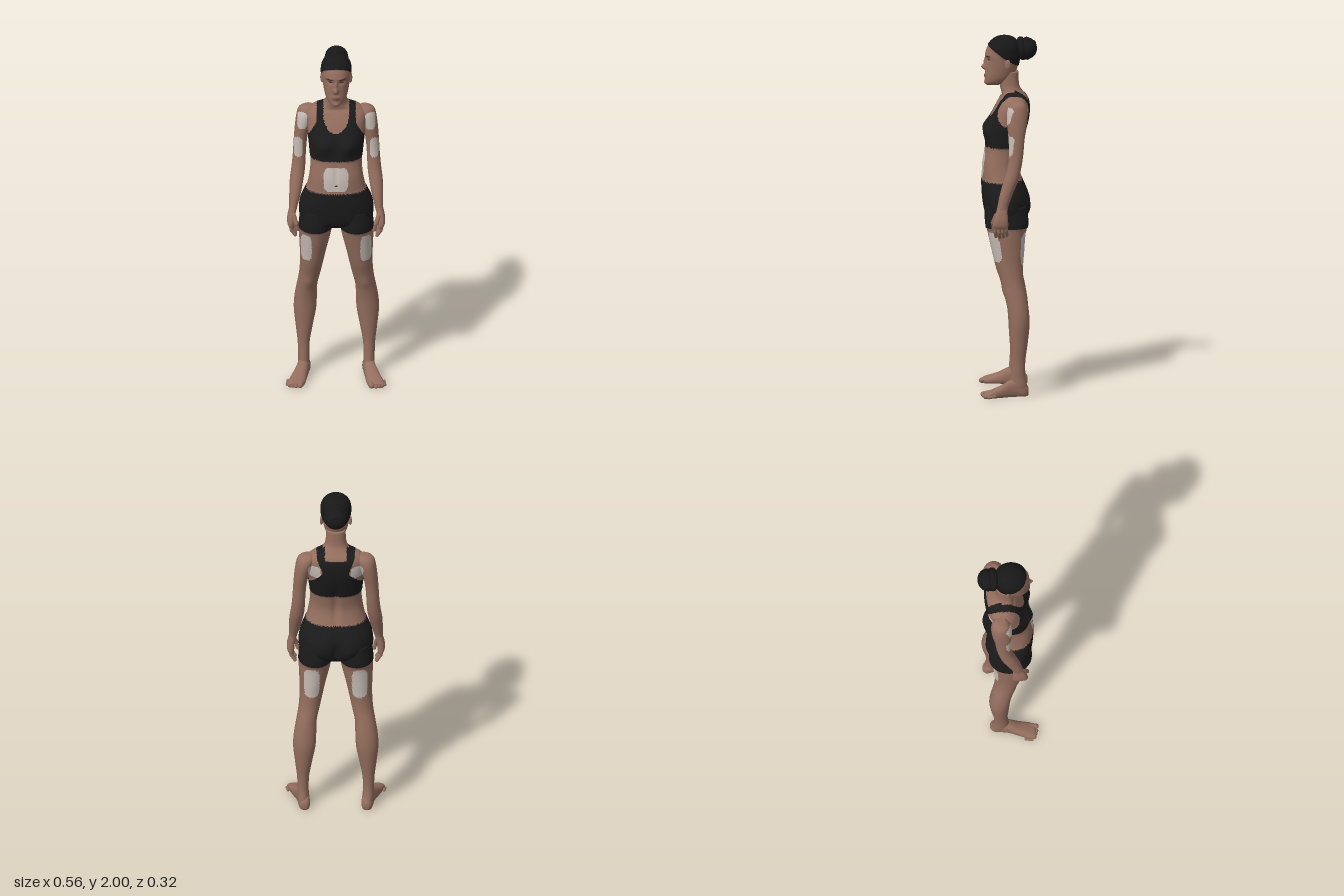
import * as THREE from 'three';
import { mergeGeometries } from 'three/addons/utils/BufferGeometryUtils.js';

const flat = (name, color) => Object.assign(new THREE.MeshStandardMaterial({ color }), { name });
const SKIN = 0, CLOTH = 1, PATCH = 2, HAIR = 3, LIPS = 4, DARK = 5;

const bump = (x, y, cx, cy, sx, sy) => Math.exp(-(((x - cx) / sx) ** 2) - ((y - cy) / sy) ** 2);
const inPad = (x, y, cx, cy, rx, ry) => ((x - cx) / rx) ** 4 + ((y - cy) / ry) ** 4 < 1;
const lerp = THREE.MathUtils.lerp;
const ramp = (v, a, b) => THREE.MathUtils.clamp((v - a) / (b - a), 0, 1);

// Smooth interpolation of a section table at row position f
function sample(rows, f) {
  const n = rows.length, i = Math.min(Math.floor(f), n - 2), u = f - i;
  const at = k => rows[THREE.MathUtils.clamp(k, 0, n - 1)];
  return rows[0].map((_, c) => {
    const a = at(i - 1)[c], b = at(i)[c], d = at(i + 1)[c], e = at(i + 2)[c];
    const m0 = (d - a) / 2, m1 = (e - b) / 2, u2 = u * u, u3 = u2 * u;
    return (2 * u3 - 3 * u2 + 1) * b + (u3 - 2 * u2 + u) * m0 + (3 * u2 - 2 * u3) * d + (u3 - u2) * m1;
  });
}

// Closed loft through rows of [y, centreX, halfWidth, frontZ, backZ];
// sculpt moves each vertex and paint picks a material for each triangle
function loft(rows, seg, steps, { power = 2, sculpt, paint = () => SKIN } = {}) {
  const total = (rows.length - 1) * steps, pts = [], tris = [];
  const shaped = p => { if (sculpt) sculpt(p); return p; };
  const bend = v => Math.sign(v) * Math.abs(v) ** (2 / power);
  for (let r = 0; r <= total; r++) {
    const [y, cx, rx, zf, zb] = sample(rows, r / steps);
    for (let i = 0; i < seg; i++) {
      const a = i / seg * Math.PI * 2;
      pts.push(shaped(new THREE.Vector3(cx + rx * bend(Math.cos(a)), y, (zf + zb) / 2 + (zf - zb) / 2 * bend(Math.sin(a)))));
    }
  }
  for (let r = 0; r < total; r++) for (let i = 0; i < seg; i++) {
    const j = (i + 1) % seg, a = r * seg + i, b = r * seg + j, c = a + seg, d = b + seg;
    tris.push([a, c, b], [b, c, d]);
  }
  for (const end of [0, total]) {
    const [y, cx, , zf, zb] = rows[end ? rows.length - 1 : 0];
    const m = pts.push(shaped(new THREE.Vector3(cx, y, (zf + zb) / 2))) - 1;
    for (let i = 0; i < seg; i++) {
      const a = end * seg + i, b = end * seg + (i + 1) % seg;
      tris.push(end ? [m, b, a] : [m, a, b]);
    }
  }
  const bins = [[], [], [], [], [], []], mid = new THREE.Vector3();
  for (const t of tris) {
    mid.set(0, 0, 0);
    t.forEach(k => mid.addScaledVector(pts[k], 1 / 3));
    bins[paint(mid)].push(...t);
  }
  const geo = new THREE.BufferGeometry().setFromPoints(pts);
  geo.setIndex(bins.flat());
  let start = 0;
  bins.forEach((b, m) => { if (b.length) geo.addGroup(start, b.length, m); start += b.length; });
  geo.computeVertexNormals();
  return geo;
}

function mirrored(geo) {
  const g = geo.clone().scale(-1, 1, 1), ix = g.index;
  for (let i = 0; i < ix.count; i += 3) {
    const t = ix.getX(i);
    ix.setX(i, ix.getX(i + 1));
    ix.setX(i + 1, t);
  }
  g.computeVertexNormals();
  return g;
}

function capsule(a, b, r) {
  const p = new THREE.Vector3(...a), q = new THREE.Vector3(...b), d = q.clone().sub(p);
  const g = new THREE.CapsuleGeometry(r, d.length(), 5, 12);
  g.applyQuaternion(new THREE.Quaternion().setFromUnitVectors(new THREE.Vector3(0, 1, 0), d.normalize()));
  return g.translate(...p.add(q).multiplyScalar(0.5).toArray());
}

function topIsCloth({ x, y, z }) {
  const ax = Math.abs(x);
  if (y < 1.385 || y > 1.7) return false;
  if (z > -0.03) {
    const neck = y > 1.65 ? ax < 0.072 : (ax / 0.072) ** 2 + ((y - 1.65) / 0.105) ** 2 < 1;
    return !neck && ax < lerp(0.17, 0.108, ramp(y, 1.49, 1.6));
  }
  const neck = ax < 0.06 && y > 1.645;
  return !neck && ax < lerp(0.17, 0.075, ramp(y, 1.45, 1.56)) + 0.03 * ramp(y, 1.58, 1.66);
}

export function createModel() {
  const model = new THREE.Group();
  const mats = [flat('skin', 0x946e5e), flat('black fabric', 0x1b1b1b), flat('pale pad', 0xc6bcb4),
    flat('hair', 0x191818), flat('lips', 0x7c5147), flat('dark brown', 0x49352d)];
  const add = (name, geo, mat = mats) => {
    const m = new THREE.Mesh(geo, mat);
    m.name = name;
    model.add(m);
  };
  const pair = (name, geo, mat) => {
    add(name + 'Left', geo, mat);
    add(name + 'Right', mirrored(geo), mat);
  };

  // Torso and neck, with cropped top, shorts and pads
  add('torso', loft([
    [0.95, 0, 0.06, 0.07, -0.05], [0.975, 0, 0.15, 0.11, -0.08], [1.0, 0, 0.19, 0.128, -0.095],
    [1.05, 0, 0.203, 0.14, -0.1], [1.12, 0, 0.194, 0.148, -0.1], [1.2, 0, 0.164, 0.15, -0.072],
    [1.28, 0, 0.148, 0.148, -0.052], [1.36, 0, 0.142, 0.134, -0.062], [1.44, 0, 0.148, 0.122, -0.085],
    [1.5, 0, 0.155, 0.112, -0.102], [1.56, 0, 0.162, 0.094, -0.113], [1.62, 0, 0.164, 0.066, -0.113],
    [1.658, 0, 0.137, 0.04, -0.1], [1.685, 0, 0.078, 0.042, -0.078], [1.72, 0, 0.058, 0.05, -0.058],
    [1.8, 0, 0.054, 0.055, -0.052],
  ], 144, 8, {
    power: 2.3,
    sculpt(p) {
      const ax = Math.abs(p.x), y = p.y;
      if (p.z > 0.03) {
        p.z += 0.032 * bump(ax, y, 0.072, 1.475, 0.05, 0.055);
        p.z -= 0.006 * bump(ax, y, 0, 1.3, 0.012, 0.07);
        p.z += 0.006 * bump(ax, y, 0.07, 1.645 , 0.05, 0.01);
      } else if (p.z < -0.02) {
        p.z -= 0.022 * bump(ax, y, 0.085, 1.05, 0.06, 0.06);
        p.z += 0.014 * bump(ax, y, 0, 1.32, 0.022, 0.13);
        p.z += 0.02 * bump(ax, y, 0, 1.03, 0.014, 0.06);
      }
      if (y < 1.195 || topIsCloth(p)) { p.x *= 1.02; p.z *= 1.02; }
    },
    paint(p) {
      const ax = Math.abs(p.x);
      if (p.y < 1.195 || topIsCloth(p)) return CLOTH;
      if (p.z > 0 && Math.hypot(ax, p.y - 1.243) < 0.007) return DARK;
      if (p.z > 0 && inPad(p.x, p.y, 0, 1.28, 0.068, 0.072)) return PATCH;
      if (p.z < -0.03 && inPad(ax, p.y, 0.118, 1.565, 0.035, 0.04)) return PATCH;
      return SKIN;
    },
  }));

  // Head: face, hairline and swept-back hair
  const isHair = p => p.y > (p.z > 0 ? 1.862 + p.z * 0.74 : 1.862 + p.z * 0.6);
  add('head', loft([
    [1.722, 0, 0.018, 0.122, 0.05], [1.735, 0, 0.04, 0.132, 0.01], [1.762, 0, 0.058, 0.132, -0.02],
    [1.8, 0, 0.068, 0.13, -0.04], [1.85, 0, 0.076, 0.128, -0.055], [1.9, 0, 0.08, 0.13, -0.06],
    [1.94, 0, 0.077, 0.117, -0.056], [1.97, 0, 0.06, 0.092, -0.04], [1.987, 0, 0.034, 0.062, -0.012],
    [1.992, 0, 0.005, 0.03, 0.02],
  ], 96, 9, {
    sculpt(p) {
      const ax = Math.abs(p.x), y = p.y;
      if (isHair(p)) {
        p.x *= 1.07;
        p.z = 0.03 + (p.z - 0.03) * 1.05;
        p.y += 0.008 * ramp(y, 1.93, 1.99);
      } else if (p.z > 0.05) {
        p.z += 0.024 * bump(ax, y, 0, 1.823, 0.013, 0.014) + 0.012 * bump(ax, y, 0, 1.853, 0.009, 0.022)
          - 0.011 * bump(ax, y, 0.032, 1.87, 0.016, 0.012) + 0.004 * bump(ax, y, 0.03, 1.893, 0.025, 0.008)
          + 0.007 * bump(ax, y, 0, 1.776, 0.022, 0.011) + 0.005 * bump(ax, y, 0, 1.738, 0.02, 0.012);
      }
    },
    paint(p) {
      const ax = Math.abs(p.x);
      if (isHair(p)) return HAIR;
      if (p.z > 0.06 && ((ax / 0.024) ** 2 + ((p.y - 1.776) / 0.009) ** 2 < 1)) return LIPS;
      if (p.z > 0.06 && ((ax - 0.032) / 0.011) ** 2 + ((p.y - 1.868) / 0.0045) ** 2 < 1) return DARK;
      if (p.z > 0.06 && inPad(ax, p.y, 0.035, 1.889 , 0.02, 0.0035)) return DARK;
      return SKIN;
    },
  }));
  pair('ear', new THREE.SphereGeometry(1, 16, 12).scale(0.009, 0.03, 0.017).rotateY(-0.3).translate(0.079, 1.848, 0.008), mats[SKIN]);

  // Coiled hair bun
  add('bun', new THREE.SphereGeometry(1, 32, 24).scale(0.064, 0.06, 0.056).translate(0, 1.926, -0.1), mats[HAIR]);
  [[0.045, 0.022, -0.072], [0.044, 0.02, -0.1], [0.028, 0.02, -0.128]].forEach(([r, t, z], i) =>
    add('bunCoil' + (i + 1), new THREE.TorusGeometry(r, t, 12, 40).rotateX(0.15 - i * 0.12).translate(0, 1.926, z), mats[HAIR]));

  // Arms with pads
  pair('arm', loft([
    [1.05, 0.24, 0.021, 0.074, 0.012], [1.08, 0.236, 0.024, 0.068, 0.008], [1.14, 0.228, 0.032, 0.056, -0.014],
    [1.22, 0.219, 0.038, 0.034, -0.046], [1.28, 0.211, 0.038, 0.016, -0.062], [1.36, 0.205, 0.036, 0.004, -0.075],
    [1.45, 0.199, 0.037, 0.006, -0.083], [1.53, 0.188, 0.042, 0.013, -0.096], [1.6, 0.172, 0.049, 0.013, -0.101],
    [1.638, 0.162, 0.047, 0.0, -0.09], [1.658, 0.155, 0.025, -0.02, -0.065],
  ], 64, 8, {
    paint({ x, y, z }) {
      if (z > -0.04 && (inPad(x, y, 0.188, 1.58, 0.028, 0.048) || inPad(x, y, 0.211, 1.415, 0.024, 0.06))) return PATCH;
      return z < -0.05 && inPad(x, y, 0.118, 1.565, 0.035, 0.04) ? PATCH : SKIN;
    },
  }));

  // Hands: palm, four curled fingers and thumb
  pair('palm', loft([
    [0.955, 0.247, 0.014, 0.09, 0.012], [0.975, 0.25, 0.02, 0.095, 0.008], [1.01, 0.249, 0.022, 0.088, 0.01],
    [1.05, 0.242, 0.021, 0.076, 0.012], [1.07, 0.238, 0.02, 0.07, 0.012],
  ], 32, 5, { power: 2.5 }), mats[SKIN]);
  const fingers = [];
  for (let i = 0; i < 4; i++) {
    const z = 0.02 + i * 0.02, drop = [0.012, 0.003, 0, 0.006][i];
    fingers.push(capsule([0.252, 0.975, z], [0.247, 0.935 + drop, z], 0.0105));
    fingers.push(capsule([0.247, 0.935 + drop, z], [0.226, 0.904 + drop, z - 0.004], 0.0095));
  }
  fingers.push(capsule([0.236, 1.03, 0.075], [0.22, 0.985, 0.092], 0.013), capsule([0.22, 0.985, 0.092], [0.212, 0.95, 0.09], 0.0105));
  pair('fingers', mergeGeometries(fingers), mats[SKIN]);

  // Legs with shorts hems and pads
  pair('leg', loft([
    [0.02, 0.178, 0.03, 0.0, -0.095], [0.06, 0.18, 0.032, 0.0, -0.097], [0.12, 0.181, 0.031, -0.006, -0.086],
    [0.2, 0.181, 0.034, -0.01, -0.088], [0.3, 0.178, 0.048, -0.004, -0.101], [0.4, 0.174, 0.062, 0.002, -0.111],
    [0.48, 0.17, 0.062, 0.01, -0.107], [0.56, 0.162, 0.057, 0.026, -0.094], [0.64, 0.147, 0.059, 0.048, -0.079],
    [0.72, 0.136, 0.065, 0.075, -0.076], [0.8, 0.128, 0.074, 0.095, -0.082], [0.9, 0.118, 0.088, 0.117, -0.09],
    [0.96, 0.113, 0.092, 0.128, -0.102], [1.06, 0.106, 0.088, 0.125, -0.095],
  ], 72, 7, {
    sculpt(p) {
      if (p.z > -0.02) p.z += 0.006 * bump(p.x, p.y, 0.155, 0.59, 0.03, 0.035);
      if (p.y > 0.94) { p.x = 0.114 + (p.x - 0.114) * 1.03; p.z *= 1.04; }
    },
    paint({ x, y, z }) {
      if (y > 0.94) return CLOTH;
      if (z > 0 && inPad(x, y, 0.165, 0.836, 0.031, 0.082)) return PATCH;
      return z < 0 && inPad(x, y, 0.132, 0.822, 0.043, 0.095) ? PATCH : SKIN;
    },
  }));

  // Feet run from toe to heel, then the loft axis is laid along z
  pair('foot', loft([
    [0.142, 0.226, 0.036, 0.024, -0.008], [0.13, 0.224, 0.046, 0.032, -0.008], [0.1, 0.217, 0.048, 0.043, -0.01],
    [0.05, 0.203, 0.042, 0.063, -0.012], [0.0, 0.188, 0.036, 0.09, -0.012], [-0.04, 0.18, 0.034, 0.1, -0.012],
    [-0.085, 0.173, 0.03, 0.075, -0.012], [-0.106, 0.171, 0.014, 0.045, 0.008],
  ], 40, 6, { power: 2.3, sculpt: p => p.set(p.x, Math.max(p.z, 0), p.y) }), mats[SKIN]);
  const toes = [0, 1, 2, 3, 4].map(i => {
    const r = i ? 0.0105 - i * 0.0006 : 0.015, x = i ? 0.205 + i * 0.0165 : 0.197, z = 0.148 - i * i * 0.002 - (i ? 0 : 0.002);
    return capsule([x - 0.005, r + 0.006, z - 0.035], [x, r, z], r);
  });
  pair('toes', mergeGeometries(toes), mats[SKIN]);

  return model;
}
